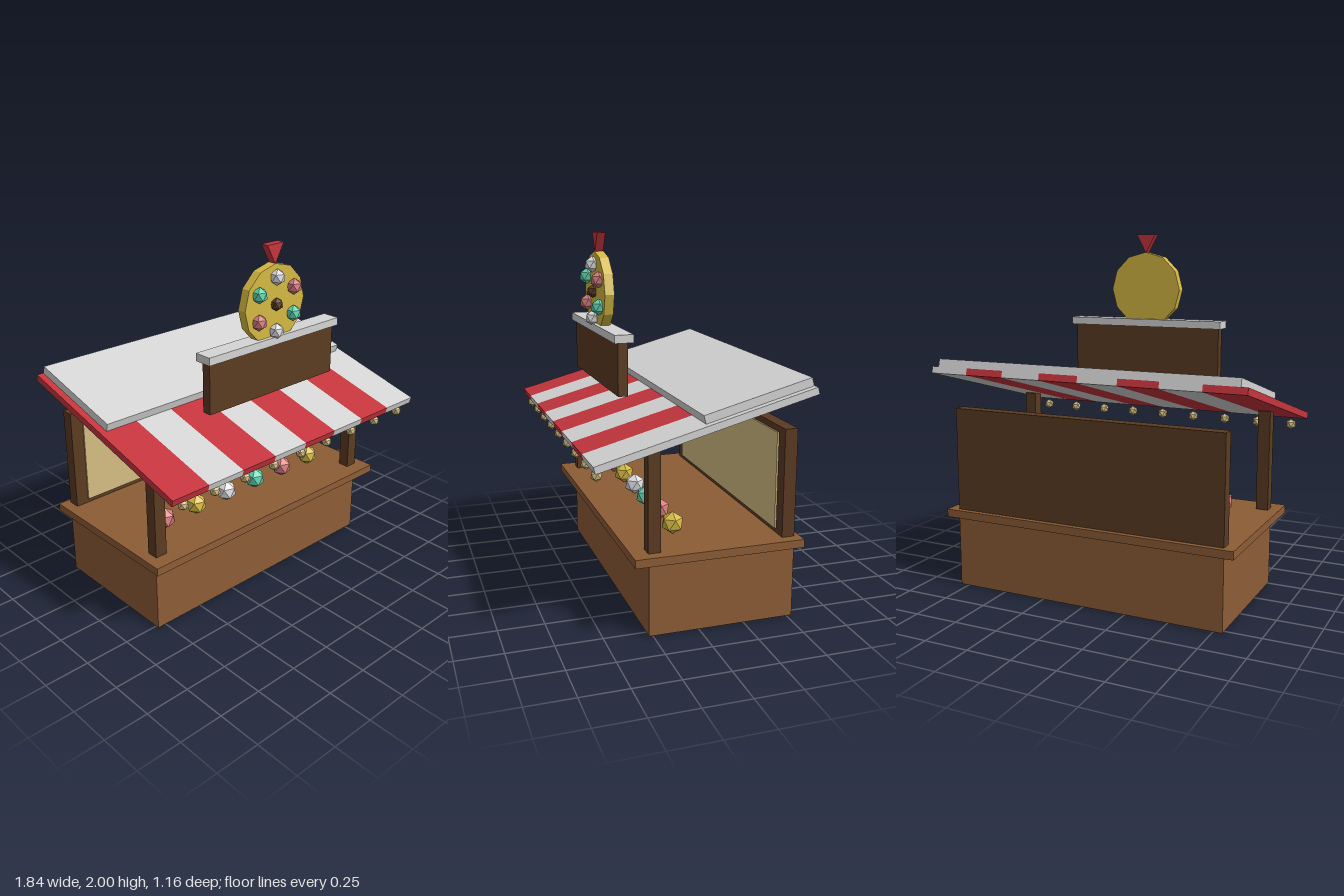
import * as THREE from 'three';

const mat = (name, color) => {
  const m = new THREE.MeshStandardMaterial({ color });
  m.name = name;
  return m;
};

export function createModel() {
  const wood = mat('wood brown', 0x8d5c36);
  const dark = mat('dark wood', 0x5b3b21);
  const red = mat('awning red', 0xc5353d);
  const grey = mat('light grey', 0xd5d5d5);
  const cream = mat('cream', 0xd5be82);
  const gold = mat('gold', 0xd5b943);
  const pink = mat('pink', 0xd67c7e);
  const teal = mat('teal', 0x5fd3b0);
  const silver = mat('silver', 0xdddde0);

  const model = new THREE.Group();
  model.name = 'marketStall';

  const add = (parent, name, geometry, material, x, y, z) => {
    const mesh = new THREE.Mesh(geometry, material);
    mesh.name = name;
    mesh.position.set(x, y, z);
    parent.add(mesh);
    return mesh;
  };
  // Box given by its lower and upper corners
  const box = (parent, name, material, x0, x1, y0, y1, z0, z1) =>
    add(parent, name, new THREE.BoxGeometry(x1 - x0, y1 - y0, z1 - z0), material,
      (x0 + x1) / 2, (y0 + y1) / 2, (z0 + z1) / 2);
  // Faceted ball standing on one of its corners
  const gem = (parent, name, material, r, x, y, z) => {
    const g = new THREE.IcosahedronGeometry(r, 0);
    g.rotateZ(-Math.atan(2 / (1 + Math.sqrt(5))));
    return add(parent, name, g, material, x, y, z);
  };

  // Counter
  box(model, 'base', wood, -0.8, 0.8, 0, 0.41, -0.53, 0.27);
  box(model, 'counterTop', wood, -0.86, 0.86, 0.405, 0.45, -0.56, 0.36);

  // Back wall with its lining, and the front posts
  box(model, 'backWall', dark, -0.8, 0.8, 0.45, 1.035, -0.53, -0.46);
  box(model, 'wallLining', cream, -0.725, 0.725, 0.475, 1.0, -0.46, -0.451);
  for (const s of [-1, 1]) {
    const post = box(model, s > 0 ? 'leftPost' : 'rightPost', dark,
      -0.035, 0.035, 0.45, 1.02, 0.208, 0.275);
    post.position.x = s * 0.765;
  }

  // Sloping striped awning with a plain upper roof slab
  const roof = new THREE.Group();
  roof.name = 'roof';
  roof.position.y = 1.1;
  roof.rotation.x = 0.26;
  model.add(roof);
  for (let i = 0; i < 8; i++) {
    const x = -0.92 + i * 0.23;
    box(roof, 'awningStripe', i % 2 ? grey : red, x, x + 0.23, -0.019, 0.019, -0.595, 0.595);
  }
  box(roof, 'upperRoof', grey, -0.882, 0.882, 0.019, 0.064, -0.592, 0.002);

  // Lights along the awning's front edge
  for (let i = 0; i < 9; i++) {
    gem(model, 'awningLight', cream, 0.031, (i - 4) * 0.207, 0.895, 0.543);
  }

  // Goods on the counter
  [pink, gold, silver, teal, pink, gold].forEach((m, i) =>
    gem(model, 'counterGem', m, 0.062, -0.575 + i * 0.23, 0.514, 0.07));

  // Sign board, its cap and the wheel above
  box(model, 'signBoard', dark, -0.46, 0.46, 1.185, 1.465, 0.275, 0.328);
  box(model, 'signCap', grey, -0.48, 0.48, 1.465, 1.508, 0.248, 0.35);
  const disc = new THREE.CylinderGeometry(0.216, 0.216, 0.052, 12).toNonIndexed();
  disc.rotateX(Math.PI / 2);
  disc.computeVertexNormals();
  add(model, 'wheel', disc, gold, 0, 1.682, 0.301);

  // Gems around the wheel's hub
  gem(model, 'wheelHub', dark, 0.037, 0, 1.682, 0.338);
  [silver, teal, pink, silver, teal, pink].forEach((m, i) => {
    const a = Math.PI / 2 + i * Math.PI / 3;
    gem(model, 'wheelGem', m, 0.045, 0.146 * Math.cos(a), 1.682 + 0.146 * Math.sin(a), 0.34);
  });

  // Pointer: triangular prism aimed down at the wheel
  const tri = new THREE.Shape([
    new THREE.Vector2(0, 1.893), new THREE.Vector2(0.058, 2), new THREE.Vector2(-0.058, 2),
  ]);
  add(model, 'pointer', new THREE.ExtrudeGeometry(tri, { depth: 0.046, bevelEnabled: false }),
    red, 0, 0, 0.278);

  return model;
}
